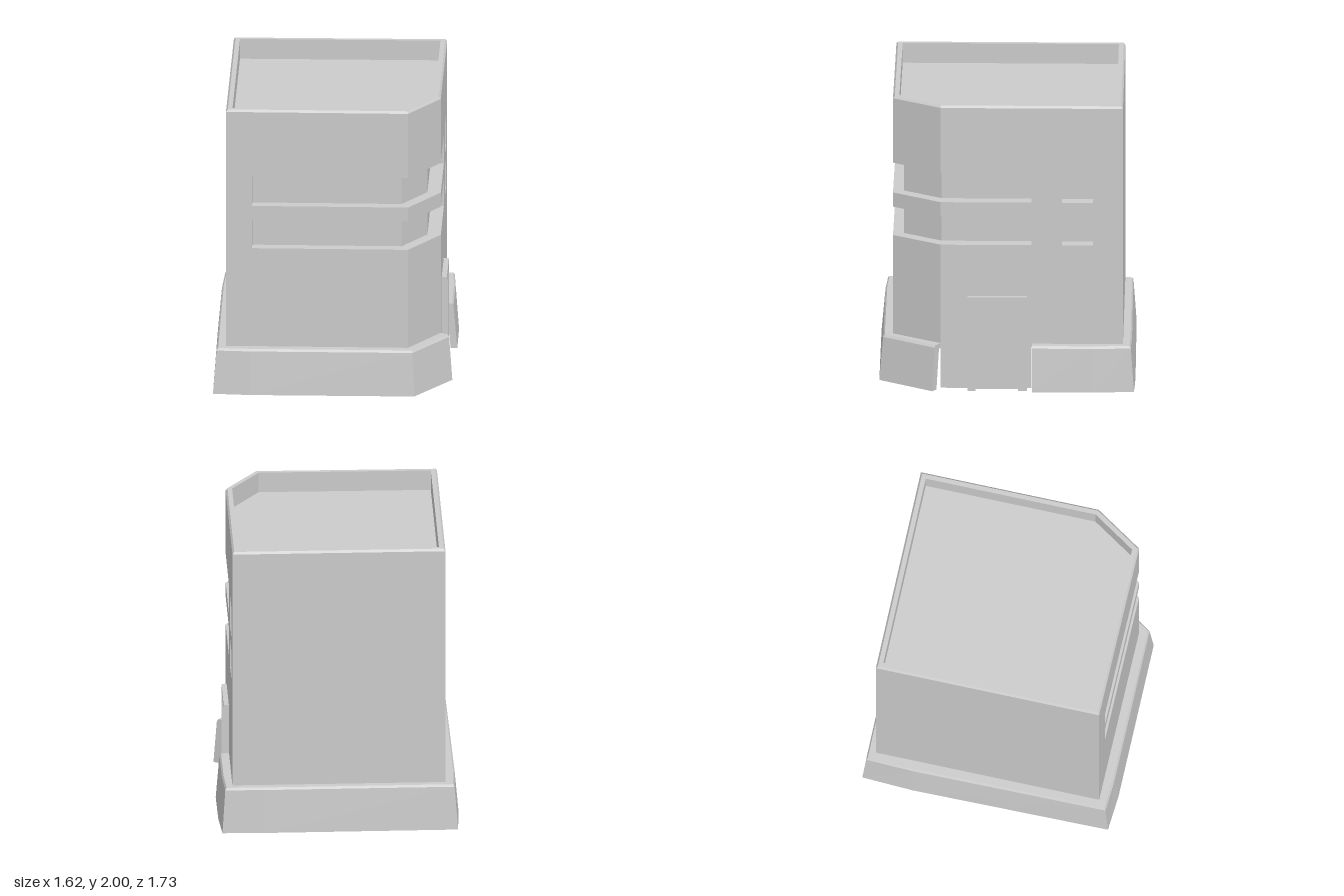
import * as THREE from 'three';

const material = new THREE.MeshStandardMaterial({ color: 0xcccccc, flatShading: true, side: THREE.DoubleSide });

// Footprint corners as [x, z], anticlockwise seen from above
const corner = {
  frontLeft: [-0.715, 0.765], frontRight: [0.51, 0.765], chamfer: [0.72, 0.44],
  backRight: [0.72, -0.787], backLeft: [-0.715, -0.775],
};
const footprint = Object.values(corner);

// Skin rows of [x, y, z] points with quads
function loft(rows, closed = false) {
  const n = rows[0].length, index = [];
  for (let r = 0; r < rows.length - 1; r++) {
    for (let i = 0; i < (closed ? n : n - 1); i++) {
      const a = r * n + i, b = r * n + (i + 1) % n;
      index.push(a, b, b + n, a, b + n, a + n);
    }
  }
  const g = new THREE.BufferGeometry();
  g.setAttribute('position', new THREE.Float32BufferAttribute(rows.flat(2), 3));
  g.setIndex(index);
  const flat = g.toNonIndexed();
  flat.computeVertexNormals();
  return flat;
}

const atHeight = (path, y) => path.map(([x, z]) => [x, y, z]);
const band = (path, y0, y1, closed = true) => loft([atHeight(path, y0), atHeight(path, y1)], closed);

// Horizontal polygon, facing up or down
function slab(path, y, up = true) {
  const g = new THREE.ShapeGeometry(new THREE.Shape(path.map(([x, z]) => new THREE.Vector2(x, -z))));
  g.rotateX(-Math.PI / 2);
  if (!up) g.setIndex([...g.index.array].reverse());
  g.translate(0, y, 0);
  g.computeVertexNormals();
  return g;
}

// Move every side of a convex outline inward by d
function inset(path, d) {
  const n = path.length;
  const normal = (a, b) => {
    const dx = b[0] - a[0], dz = b[1] - a[1], l = Math.hypot(dx, dz);
    return [dz / l, -dx / l];
  };
  return path.map((p, i) => {
    const u = normal(path[(i + n - 1) % n], p), v = normal(p, path[(i + 1) % n]);
    const k = d / (1 + u[0] * v[0] + u[1] * v[1]);
    return [p[0] + (u[0] + v[0]) * k, p[1] + (u[1] + v[1]) * k];
  });
}

export function createModel() {
  const model = new THREE.Group();
  const add = (parent, name, geometry) => {
    const mesh = new THREE.Mesh(geometry, material);
    mesh.name = name;
    parent.add(mesh);
    return mesh;
  };

  // Walls between the window rows, with the short piece reaching the ground at the door
  const walls = new THREE.Group();
  walls.name = 'walls';
  model.add(walls);
  for (const [y0, y1] of [[0.3, 1.02], [1.22, 1.32], [1.53, 1.985]]) add(walls, 'wallBand', band(footprint, y0, y1));
  add(walls, 'doorWall', band([corner.chamfer, [0.72, -0.17]], 0.01, 0.3, false));

  // Window rows: a strip wrapping the cut corner and a square window
  const strip = [[-0.54, 0.765], [-0.54, 0.69], [0.465, 0.69], [0.63, 0.435], [0.63, -0.17], [0.72, -0.17]];
  const square = [[0.72, -0.375], [0.63, -0.375], [0.63, -0.585], [0.72, -0.585]];
  const dented = [corner.frontLeft, ...strip, ...square, corner.backRight, corner.backLeft];
  const stripSill = [...strip, corner.chamfer, corner.frontRight];
  for (const [y0, y1] of [[1.02, 1.22], [1.32, 1.53]]) {
    const row = new THREE.Group();
    row.name = 'windowRow';
    model.add(row);
    add(row, 'recessedWall', band(dented, y0, y1));
    for (const outline of [stripSill, square]) {
      add(row, 'windowSill', slab(outline, y0));
      add(row, 'windowLintel', slab(outline, y1, false));
    }
  }

  // Parapet with bevelled outer edge, and the sunken roof
  const inner = inset(footprint, 0.043);
  add(model, 'parapet', loft([
    atHeight(footprint, 1.985), atHeight(inset(footprint, 0.012), 2),
    atHeight(inner, 2), atHeight(inner, 1.86),
  ], true));
  add(model, 'roof', slab(inner, 1.86));

  // Sloping plinth: each station is wall x, z then outer foot x, z
  const stations = [
    [0.72, -0.175, 0.81, -0.175], [0.72, -0.58, 0.808, -0.58], [0.72, -0.787, 0.79, -0.862],
    [0.5, -0.785, 0.5, -0.867], [-0.715, -0.775, -0.797, -0.85], [-0.715, -0.5, -0.813, -0.5],
    [-0.715, 0.765, -0.8, 0.845], [-0.55, 0.765, -0.55, 0.862], [0.51, 0.765, 0.555, 0.856],
    [0.72, 0.44, 0.8, 0.495],
  ];
  // Section: share of the way out from the wall, height
  const section = [[1, 0.01], [0.72, 0.31], [0.6, 0.325], [0, 0.325], [0, 0.29], [0.2, 0.29], [0.5, 0.01]];
  const place = ([x, z, ox, oz], [t, y]) => [x + (ox - x) * t, y, z + (oz - z) * t];
  const rows = [...section, section[0]].map(s => stations.map(p => place(p, s)));
  add(model, 'plinth', loft(rows));
  const capOuter = [0, 1, 2, 3], capInner = [6, 5, 5, 4];
  for (const [p, order] of [[stations[0], [capInner, capOuter]], [stations[9], [capOuter, capInner]]]) {
    add(model, 'plinthEnd', loft(order.map(chain => chain.map(i => place(p, section[i])))));
  }

  // Door frame as an upside-down U, and the door leaf set inside it
  const outline = [[-0.26, 0], [-0.26, 0.66], [0.14, 0.66], [0.14, 0], [0.08, 0], [0.08, 0.62], [-0.205, 0.62], [-0.205, 0]];
  const shape = new THREE.Shape(outline.map(([x, y]) => new THREE.Vector2(x, y)));
  const frame = add(model, 'doorFrame', new THREE.ExtrudeGeometry(shape, { depth: 0.045, bevelEnabled: false }));
  frame.rotation.y = Math.PI / 2;
  frame.position.x = 0.71;
  add(model, 'door', band([[0.727, 0.205], [0.727, -0.08]], 0.005, 0.62, false));

  return model;
}
